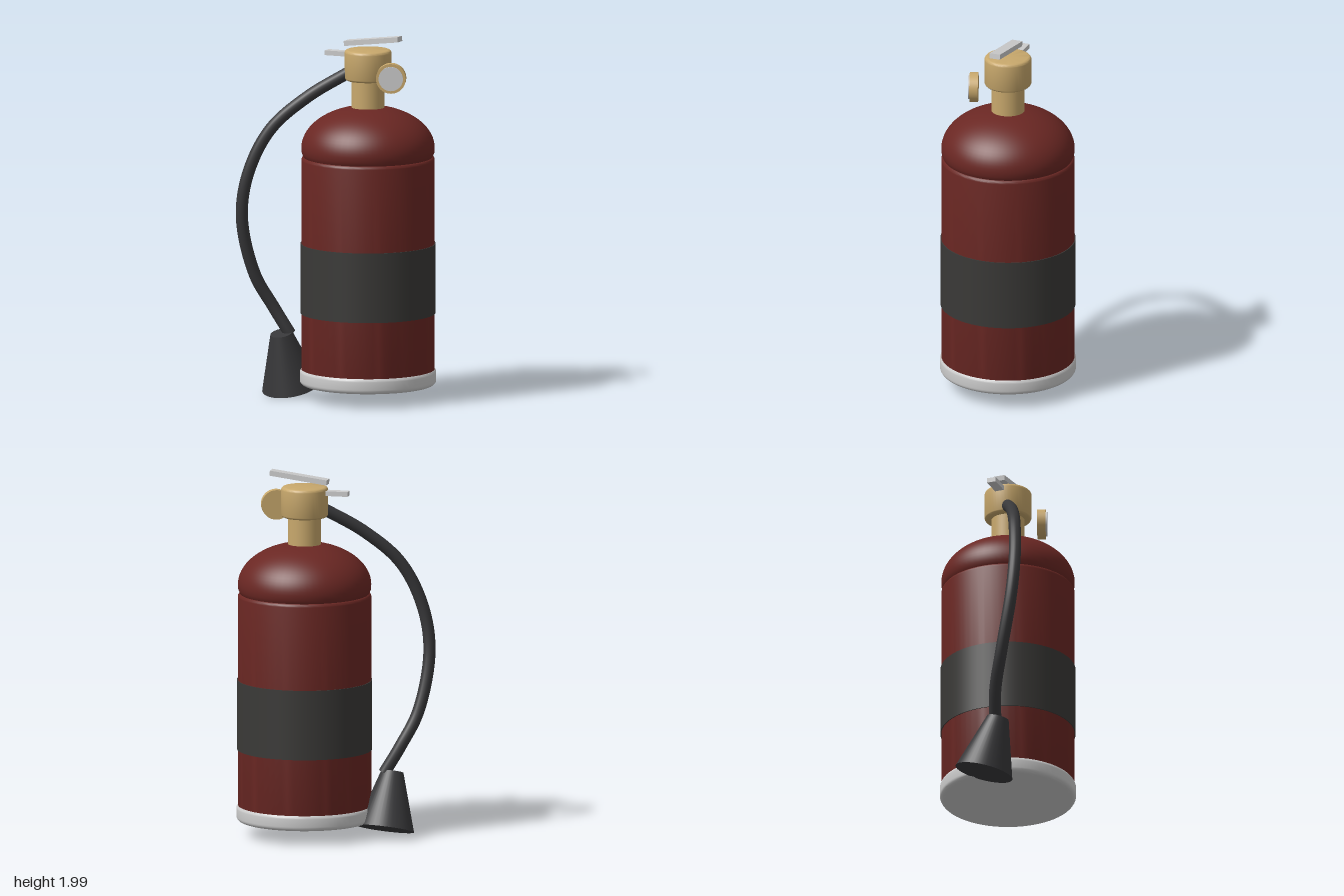
import * as THREE from 'three';
import { toCreasedNormals } from 'three/addons/utils/BufferGeometryUtils.js';

const mat = (color) => new THREE.MeshStandardMaterial({ color });
const red = mat(0x6a2723), brass = mat(0xc8a86c), rubber = mat(0x38383a);
const label = mat(0x3a3937), grey = mat(0xcccccc);
const AXIS_X = 0.145; // centre line of the tank

export function createModel() {
  const model = new THREE.Group();

  const add = (name, geometry, material, x = 0, y = 0, z = 0) => {
    const mesh = new THREE.Mesh(geometry, material);
    mesh.name = name;
    mesh.position.set(x, y, z);
    model.add(mesh);
    return mesh;
  };

  // Solid of revolution from [radius, height] pairs, bottom to top
  const lathe = (pts, segments = 64) =>
    toCreasedNormals(new THREE.LatheGeometry(pts.map(([r, y]) => new THREE.Vector2(r, y)), segments), 0.6);

  // Closed drum with rounded top and bottom edges
  const drum = (r, y0, y1, bevel, segments) => {
    const pts = [[0, y0]];
    for (let i = 0; i <= 5; i++) {
      const a = (i / 5) * Math.PI / 2;
      pts.push([r - bevel + bevel * Math.sin(a), y0 + bevel - bevel * Math.cos(a)]);
    }
    for (let i = 0; i <= 5; i++) {
      const a = (i / 5) * Math.PI / 2;
      pts.push([r - bevel + bevel * Math.cos(a), y1 - bevel + bevel * Math.sin(a)]);
    }
    pts.push([0, y1]);
    return lathe(pts, segments);
  };

  // Tank: cylinder, domed shoulder, label band and foot ring
  add('tankBody', drum(0.36, 0.1, 1.335, 0.02), red, AXIS_X);
  const dome = [[0.335, 1.315], [0.35, 1.335], [0.358, 1.355]];
  for (let i = 0; i <= 20; i++) {
    const a = (i / 20) * Math.PI / 2;
    dome.push([0.36 * Math.cos(a), 1.38 + 0.23 * Math.sin(a)]);
  }
  add('tankShoulder', lathe(dome), red, AXIS_X);
  add('labelBand', new THREE.CylinderGeometry(0.365, 0.365, 0.38, 64), label, AXIS_X, 0.67);
  add('footRing', drum(0.368, 0.088, 0.18, 0.025), grey, AXIS_X);

  // Valve
  add('valveNeck', new THREE.CylinderGeometry(0.09, 0.09, 0.2, 40), brass, AXIS_X, 1.67);
  add('valveHead', drum(0.127, 1.75, 1.917, 0.018, 48), brass, AXIS_X);

  // Carrying handle and squeeze lever
  add('carryHandle', new THREE.BoxGeometry(0.25, 0.026, 0.05), grey, 0.025, 1.887, 0);
  const lever = add('squeezeLever', new THREE.BoxGeometry(0.32, 0.028, 0.06), grey, 0.174, 1.966, 0);
  lever.rotation.z = 0.126;

  // Pressure gauge, turned outwards from the front
  const gauge = new THREE.Group();
  gauge.name = 'pressureGauge';
  gauge.position.set(0.335, 1.79, 0.12);
  gauge.rotation.y = 0.355;
  const gaugeCase = add('gaugeCase', new THREE.CylinderGeometry(0.081, 0.081, 0.046, 40), brass);
  const gaugeFace = add('gaugeFace', new THREE.CylinderGeometry(0.066, 0.066, 0.012, 40), grey, 0, 0, 0.025);
  for (const part of [gaugeCase, gaugeFace]) {
    part.rotation.x = Math.PI / 2;
    gauge.add(part);
  }
  model.add(gauge);

  // Hose, sweeping out and down to the horn
  const path = new THREE.CatmullRomCurve3([
    [0.06, 1.8, 0.03], [-0.15, 1.66, 0.14], [-0.33, 1.485, 0.225], [-0.44, 1.25, 0.27],
    [-0.482, 1.0, 0.265], [-0.44, 0.68, 0.19], [-0.36, 0.5, 0.125], [-0.275, 0.35, 0.092],
  ].map((p) => new THREE.Vector3(...p)));
  add('hose', new THREE.TubeGeometry(path, 80, 0.033, 16), rubber);

  // Discharge horn, tilted along its own axis
  const top = new THREE.Vector3(-0.313, 0.355, 0.122);
  const bottom = new THREE.Vector3(-0.295, 0.054, 0.034);
  const axis = top.clone().sub(bottom);
  const horn = add('dischargeHorn', new THREE.CylinderGeometry(0.06, 0.158, axis.length(), 40), rubber);
  horn.position.copy(top).add(bottom).multiplyScalar(0.5);
  horn.quaternion.setFromUnitVectors(new THREE.Vector3(0, 1, 0), axis.normalize());

  return model;
}
